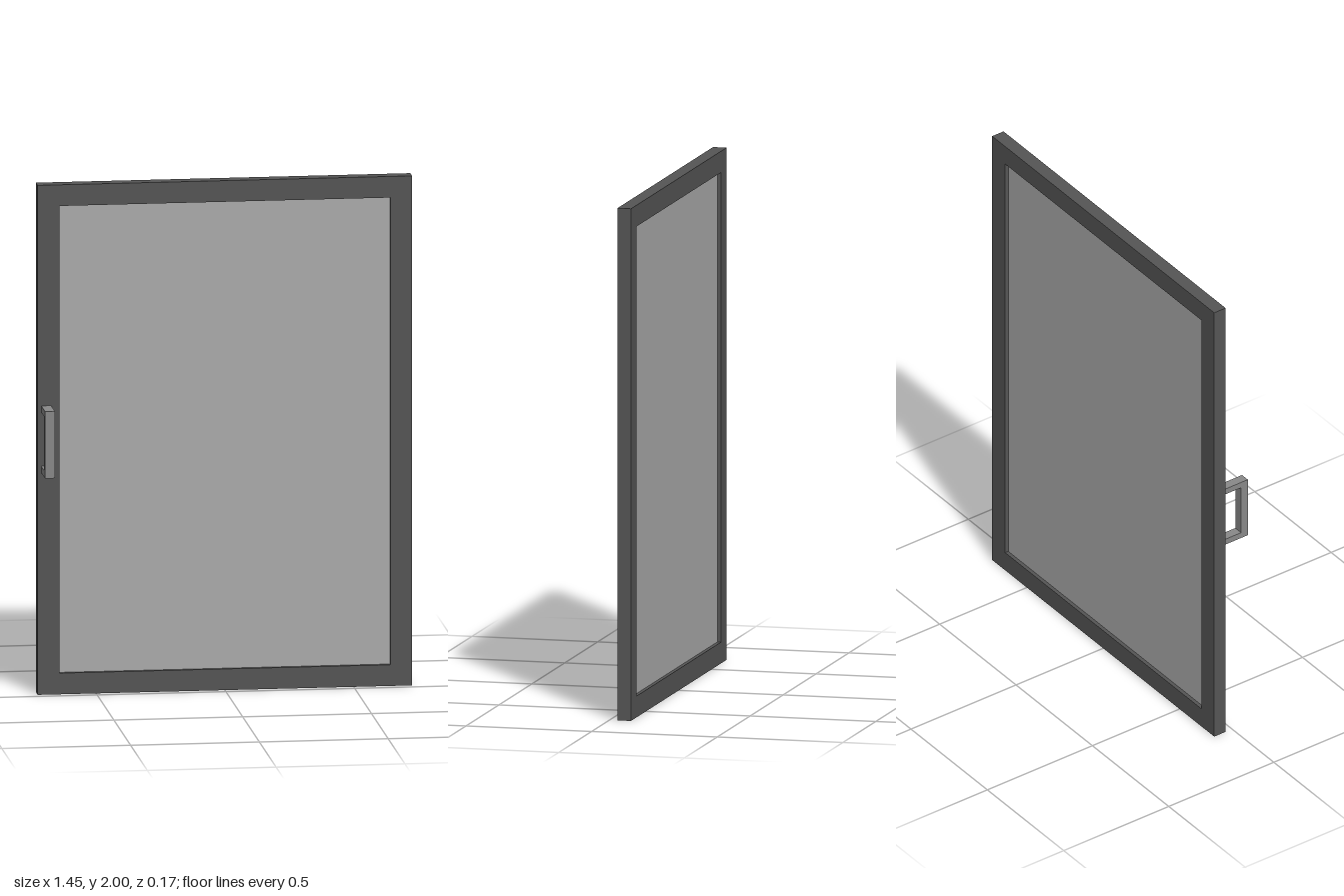
import * as THREE from 'three';

const material = (color) => new THREE.MeshStandardMaterial({ color });

// Box given by its [min, max] range on each axis
function box(name, [x0, x1], [y0, y1], [z0, z1], mat) {
  const mesh = new THREE.Mesh(new THREE.BoxGeometry(x1 - x0, y1 - y0, z1 - z0), mat);
  mesh.position.set((x0 + x1) / 2, (y0 + y1) / 2, (z0 + z1) / 2);
  mesh.name = name;
  return mesh;
}

// Rectangular outline, usable as a shape or as a hole
function rect(Type, x0, y0, x1, y1) {
  return new Type([[x0, y0], [x1, y0], [x1, y1], [x0, y1]].map(([x, y]) => new THREE.Vector2(x, y)));
}

export function createModel() {
  const model = new THREE.Group();
  model.name = 'glassDoor';
  const back = -0.085, front = -0.031;

  // Frame: one slab with a rectangular opening
  const outline = rect(THREE.Shape, -0.727, 0, 0.727, 2);
  outline.holes.push(rect(THREE.Path, -0.642, 0.083, 0.642, 1.917));
  const frame = new THREE.Mesh(
    new THREE.ExtrudeGeometry(outline, { depth: front - back, bevelEnabled: false }),
    material(0x555555)
  );
  frame.position.z = back;
  frame.name = 'frame';
  model.add(frame);

  // Glass pane, set back from both faces of the frame
  model.add(box('glassPane', [-0.642, 0.642], [0.083, 1.917], [-0.07, -0.046], material(0xaaaaaa)));

  // Pull handle: upright grip on two posts
  const handle = new THREE.Group();
  handle.name = 'handle';
  const metal = material(0x888888);
  const hx = [-0.713, -0.675];
  handle.add(box('grip', hx, [0.872, 1.134], [0.053, 0.085], metal));
  handle.add(box('lowerPost', hx, [0.872, 0.897], [front, 0.053], metal));
  handle.add(box('upperPost', hx, [1.109, 1.134], [front, 0.053], metal));
  model.add(handle);

  return model;
}
